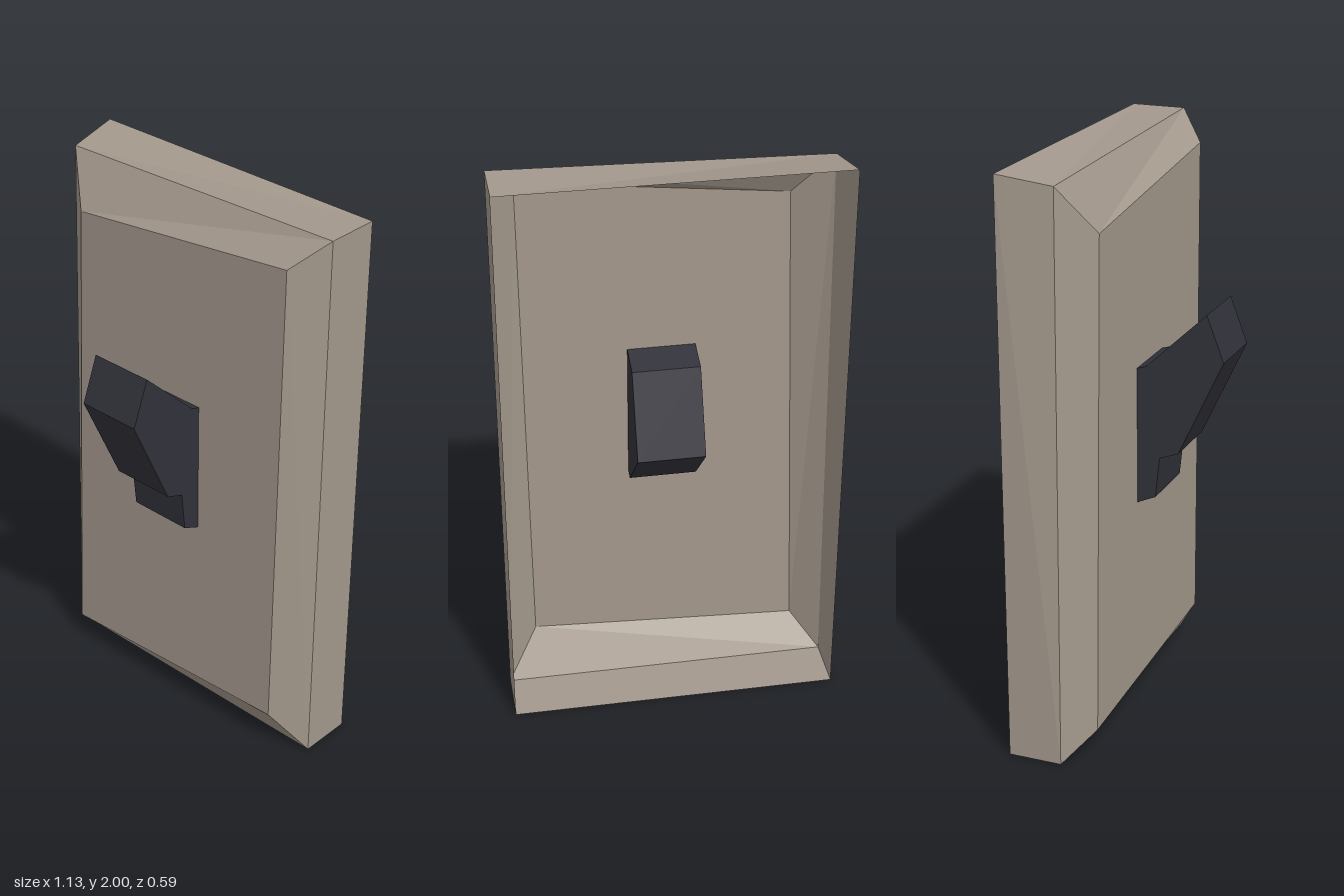
import * as THREE from 'three';

export function createModel() {
  const group = new THREE.Group();

  const plateMaterial = new THREE.MeshStandardMaterial({ color: 0xa3988c, side: THREE.DoubleSide, flatShading: true });
  plateMaterial.name = 'beige plastic';
  const leverMaterial = new THREE.MeshStandardMaterial({ color: 0x31313a, flatShading: true });
  leverMaterial.name = 'dark plastic';

  // Cross-sections of the crooked cover shell, back to front,
  // corners counterclockwise seen from the front
  const rings = [
    { z: -0.295, corners: [[-0.565, 0], [0.565, 0], [0.565, 2], [-0.565, 2]] },
    { z: -0.107, corners: [[-0.565, 0], [0.565, 0], [0.565, 2], [-0.54, 1.972]] },
    { z: -0.01, corners: [[-0.475, 0.105], [0.457, 0.155], [0.47, 1.905], [-0.42, 1.805]] },
  ];
  const positions = rings.flatMap(({ z, corners }) => corners.flatMap(([x, y]) => [x, y, z]));
  const index = [];
  for (let r = 0; r < rings.length - 1; r++) {
    for (let i = 0; i < 4; i++) {
      const j = (i + 1) % 4;
      const a = r * 4 + i, b = r * 4 + j, c = b + 4, d = a + 4;
      index.push(a, b, c, a, c, d);
    }
  }
  // Front face; the back stays open
  index.push(8, 9, 10, 8, 10, 11);

  const indexed = new THREE.BufferGeometry();
  indexed.setAttribute('position', new THREE.Float32BufferAttribute(positions, 3));
  indexed.setIndex(index);
  const plateGeometry = indexed.toNonIndexed();
  plateGeometry.computeVertexNormals();
  const plate = new THREE.Mesh(plateGeometry, plateMaterial);
  plate.name = 'coverPlate';
  group.add(plate);

  // Toggle lever: side profile as (z, y), passing through the plate
  const profile = [
    [0.02, 1.28], [-0.11, 1.24], [-0.22, 0.957], [-0.04, 0.778], [0.055, 0.82],
    [0.07, 0.962], [0.137, 0.988], [0.293, 1.325], [0.233, 1.482],
  ].map(([z, y]) => new THREE.Vector2(z, y));
  const width = 0.23;
  const leverGeometry = new THREE.ExtrudeGeometry(new THREE.Shape(profile), { depth: width, bevelEnabled: false });
  leverGeometry.translate(0, 0, -width / 2);
  leverGeometry.rotateY(-Math.PI / 2);
  const lever = new THREE.Mesh(leverGeometry, leverMaterial);
  lever.name = 'toggleLever';
  group.add(lever);

  return group;
}
